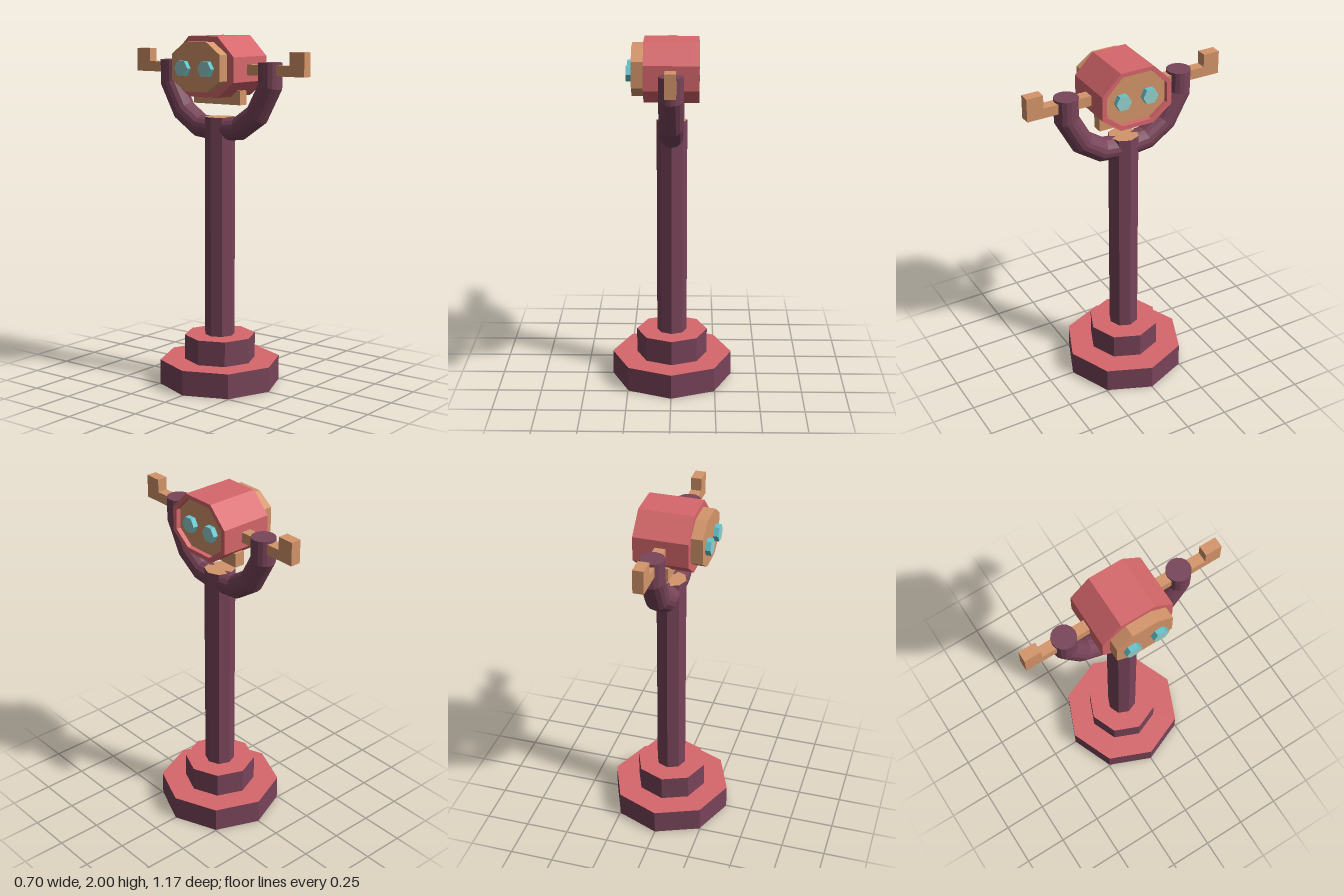
import * as THREE from 'three';

const paint = (name, color) => new THREE.MeshStandardMaterial({ name, color, flatShading: true });

export function createModel() {
  const model = new THREE.Group();
  model.name = 'lookoutViewer';
  const plum = paint('plum', 0x784459);
  const coral = paint('coral', 0xd6676b);
  const tan = paint('tan', 0xd4956a);
  const teal = paint('teal', 0x62c6cf);
  const paleTeal = paint('paleTeal', 0x93d0ce);

  const add = (name, geometry, material, x = 0, y = 0, z = 0, parent = model) => {
    const mesh = new THREE.Mesh(geometry, material);
    mesh.name = name;
    mesh.position.set(x, y, z);
    parent.add(mesh);
    return mesh;
  };

  // Stepped base and pole: octagons with a differently coloured top
  const tier = (name, r, y0, y1, top) =>
    add(name, new THREE.CylinderGeometry(r, r, y1 - y0, 8), [plum, top, plum], 0, (y0 + y1) / 2, 0);
  tier('baseLower', 0.348, 0, 0.143, coral);
  tier('baseUpper', 0.205, 0.143, 0.287, coral);
  tier('pole', 0.086, 0.287, 1.547, tan);

  // U-shaped fork: one ring per path point, horizontal at both ends
  const half = [[1.86, 0.345], [1.73, 0.345], [1.57, 0.258], [1.49, 0.14]];
  const path = [
    ...half.map(([y, z]) => new THREE.Vector3(0, y, z)),
    new THREE.Vector3(0, 1.475, 0),
    ...half.slice().reverse().map(([y, z]) => new THREE.Vector3(0, y, -z)),
  ];
  const last = path.length - 1;
  const direction = (i) => path[i + 1].clone().sub(path[i]).normalize();
  class ForkCurve extends THREE.Curve {
    getPointAt(u, target = new THREE.Vector3()) {
      return target.copy(path[Math.round(u * last)]);
    }
    getTangentAt(u, target = new THREE.Vector3()) {
      const i = Math.round(u * last);
      return target.copy(direction(Math.max(i - 1, 0)))
        .add(direction(Math.min(i, last - 1))).normalize();
    }
  }
  const fork = new THREE.Group();
  fork.name = 'fork';
  model.add(fork);
  add('forkTube', new THREE.TubeGeometry(new ForkCurve(), last, 0.068, 16), plum, 0, 0, 0, fork);
  for (const s of [-1, 1]) {
    add('forkCap', new THREE.CircleGeometry(0.068, 16).rotateX(-Math.PI / 2), plum, 0, 1.86, s * 0.345, fork);
  }

  // Axle with upturned handles at both ends
  add('axle', new THREE.BoxGeometry(0.06, 0.058, 0.98), tan, 0, 1.817, 0);
  for (const s of [-1, 1]) {
    add('handle', new THREE.BoxGeometry(0.06, 0.132, 0.096), tan, 0, 1.854, s * 0.538);
  }

  // Head pieces: bevelled outlines in z and y, extruded along x
  const outline = (w, flat, top, upper, lower, bottom) => [
    [-flat, bottom], [flat, bottom], [w, lower], [w, upper],
    [flat, top], [-flat, top], [-w, upper], [-w, lower],
  ].map(([z, y]) => new THREE.Vector2(z, y));
  const slab = (name, points, x0, x1, material, hole) => {
    const shape = new THREE.Shape(points);
    if (hole) shape.holes.push(new THREE.Path(hole));
    const geometry = new THREE.ExtrudeGeometry(shape, { depth: x1 - x0, bevelEnabled: false });
    return add(name, geometry.rotateY(Math.PI / 2), material, x0, 0, 0);
  };
  const shell = outline(0.21, 0.099, 2, 1.889, 1.751, 1.665);
  const opening = outline(0.182, 0.088, 1.977, 1.88, 1.765, 1.69);
  slab('headBody', shell, -0.154, 0.12, coral);
  slab('headRim', shell, 0.12, 0.152, coral, opening);
  slab('recessedPanel', opening, 0.119, 0.125, tan);
  slab('eyePlate', outline(0.166, 0.074, 1.97, 1.903, 1.759, 1.697), -0.22, -0.154, tan);

  // Bracket under the head
  add('headBracket', new THREE.BoxGeometry(0.06, 0.08, 0.325), tan, 0, 1.66, 0);

  // Hexagonal lenses on both faces
  for (const [name, side, x] of [['frontLens', 1, 0.14], ['eyepiece', -1, -0.235]]) {
    for (const s of [-1, 1]) {
      const geometry = new THREE.CylinderGeometry(0.047, 0.047, 0.03, 6).rotateZ(-side * Math.PI / 2);
      add(name, geometry, [teal, paleTeal, teal], x, 1.825, s * 0.081);
    }
  }

  return model;
}
